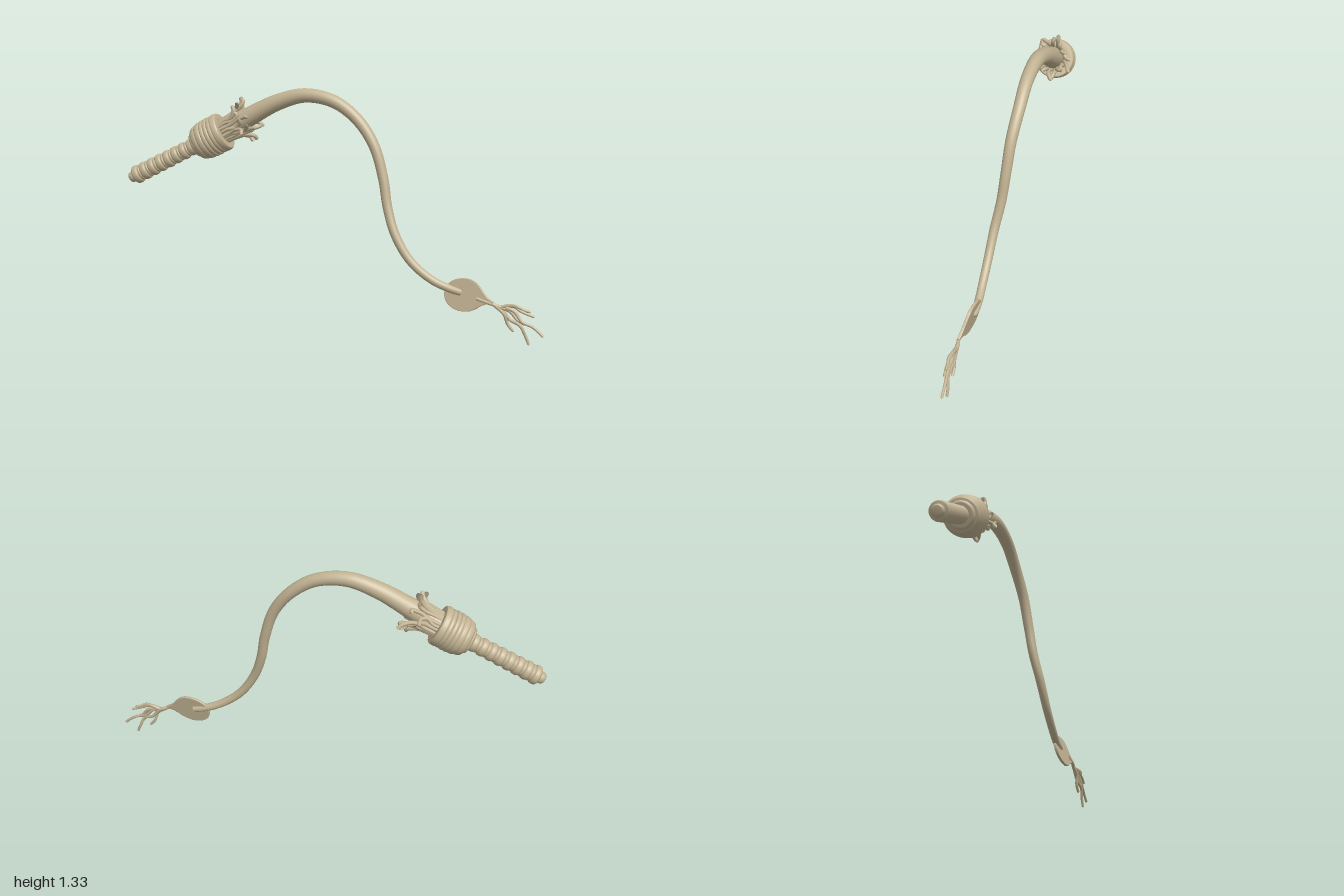
import * as THREE from 'three';

const material = new THREE.MeshStandardMaterial({ color: 0xc2b393, side: THREE.DoubleSide });
const V = (x, y, z) => new THREE.Vector3(x, y, z);

function add(parent, name, geometry) {
  const mesh = new THREE.Mesh(geometry, material);
  mesh.name = name;
  parent.add(mesh);
  return mesh;
}

// Tube whose radius follows radiusAt(u), rounded shut at its far end
function taperedTube(points, segments, sides, radiusAt) {
  const curve = new THREE.CatmullRomCurve3(points, false, 'centripetal');
  const geometry = new THREE.TubeGeometry(curve, segments, 1, sides, false);
  const pos = geometry.attributes.position;
  const length = curve.getLength();
  const p = new THREE.Vector3();
  for (let i = 0; i <= segments; i++) {
    const u = i / segments;
    const centre = curve.getPointAt(u);
    const r = radiusAt(u);
    const s = Math.max(0, 1 - ((1 - u) * length) / r);
    const scale = r * Math.max(0.02, Math.sqrt(1 - s * s));
    for (let j = 0; j <= sides; j++) {
      const k = i * (sides + 1) + j;
      p.fromBufferAttribute(pos, k).sub(centre).multiplyScalar(scale).add(centre);
      pos.setXYZ(k, p.x, p.y, p.z);
    }
  }
  return geometry;
}

// Lathe profile points of one flattened, rounded band from y0 to y1
function band(y0, y1, r0, r1, bulge, steps = 8) {
  const out = [];
  for (let i = 0; i <= steps; i++) {
    const f = i / steps;
    const b = bulge * Math.pow(Math.max(0, Math.sin(Math.PI * f)), 0.4);
    out.push(new THREE.Vector2(r0 + (r1 - r0) * f + b, y0 + (y1 - y0) * f));
  }
  return out;
}

// Small seeded generator for the fringe
let seed = 7;
const rand = () => (seed = (seed * 16807) % 2147483647) / 2147483647;

function createGrip() {
  const grip = new THREE.Group();
  grip.name = 'grip';
  grip.position.set(-0.49, 1.08, -0.423);
  grip.quaternion.setFromUnitVectors(V(0, 1, 0), V(1, 0.58, 0.56).normalize());

  // Handle: end knob, then wide bands alternating with narrow cords
  let profile = [new THREE.Vector2(0, -0.65), ...band(-0.65, -0.615, 0.024, 0.03, 0.006)];
  const bands = 8, step = 0.054;
  for (let i = 0; i < bands; i++) {
    const y = -0.615 + i * step;
    const r = 0.047 - i * 0.0006;
    profile.push(...band(y, y + step * 0.7, r, r, 0.007));
    profile.push(...band(y + step * 0.7, y + step, r - 0.004, r - 0.004, 0.005, 5));
  }
  add(grip, 'handle', new THREE.LatheGeometry(profile, 32));

  // Collar: wrapped bands swelling to a broad flat lip
  profile = [
    new THREE.Vector2(0.04, -0.2),
    ...band(-0.2, -0.18, 0.064, 0.074, 0.007),
    ...band(-0.18, -0.145, 0.088, 0.1, 0.006),
    ...band(-0.145, -0.11, 0.102, 0.106, 0.006),
    ...band(-0.11, -0.085, 0.107, 0.108, 0.006),
    ...band(-0.085, -0.06, 0.108, 0.108, 0.006),
    ...band(-0.06, -0.035, 0.106, 0.105, 0.006),
    ...band(-0.035, 0, 0.111, 0.107, 0.004),
    new THREE.Vector2(0.107, 0),
    new THREE.Vector2(0.104, 0.002),
    new THREE.Vector2(0.076, 0.002),
    new THREE.Vector2(0.074, 0),
    new THREE.Vector2(0.073, -0.02),
    new THREE.Vector2(0, -0.02),
  ];
  add(grip, 'collar', new THREE.LatheGeometry(profile, 40));

  // Fringe: curling cords leaving the collar around the lash
  const fringe = new THREE.Group();
  fringe.name = 'fringe';
  const count = 22;
  for (let i = 0; i < count; i++) {
    const a = (i / count) * Math.PI * 2 + (rand() - 0.5) * 0.2;
    const length = 0.1 + rand() * 0.1;
    const flare = rand() * 0.06;
    const twist = (rand() - 0.5) * 0.8;
    const at = (r, y, t) => V(Math.cos(a + t) * r, y, Math.sin(a + t) * r);
    const points = [
      at(0.064, -0.03, 0),
      at(0.066, length * 0.3, twist * 0.2),
      at(0.066 + flare * 0.2, length * 0.65, -twist * 0.3),
      at(0.072 + flare * 0.6, length * 0.92, twist * 0.3),
      at(0.082 + flare, length * (0.85 + rand() * 0.2), twist),
    ];
    add(fringe, 'fringeCord', taperedTube(points, 30, 8, (u) => 0.01 + 0.002 * u));
  }
  grip.add(fringe);
  return grip;
}

function createTip() {
  const tip = new THREE.Group();
  tip.name = 'tip';

  // Leaf: thin rounded flap drawn out to a point
  const shape = new THREE.Shape();
  shape.moveTo(0.16, -0.035);
  shape.bezierCurveTo(0.09, -0.025, 0.075, -0.088, 0, -0.088);
  shape.bezierCurveTo(-0.15, -0.088, -0.15, 0.088, 0, 0.088);
  shape.bezierCurveTo(0.09, 0.088, 0.085, 0.01, 0.16, -0.022);
  const geometry = new THREE.ExtrudeGeometry(shape, {
    depth: 0.008, bevelEnabled: true, bevelSize: 0.003, bevelThickness: 0.004, bevelSegments: 2, curveSegments: 20,
  });
  geometry.translate(0, 0, -0.004);
  const leaf = add(tip, 'leaf', geometry);
  leaf.position.set(0.65, 0.247, 0.449);
  leaf.rotation.set(-0.18, -0.7, 0, 'YXZ');

  // Frayed strands, given as x,y pairs lying in one slanted upright plane
  const strands = [
    [0.7, 0.235, 0.76, 0.215, 0.81, 0.2, 0.86, 0.21, 0.9, 0.185, 0.96, 0.16],
    [0.78, 0.208, 0.81, 0.195, 0.85, 0.135, 0.89, 0.11, 0.92, 0.05, 0.937, 0.001],
    [0.83, 0.2, 0.87, 0.18, 0.9, 0.13, 0.95, 0.105, 0.998, 0.055],
    [0.78, 0.208, 0.82, 0.165, 0.84, 0.11, 0.868, 0.07],
    [0.8, 0.2, 0.85, 0.18, 0.88, 0.14, 0.915, 0.115],
    [0.81, 0.2, 0.85, 0.213, 0.88, 0.21, 0.91, 0.195, 0.94, 0.185],
  ];
  strands.forEach((s, n) => {
    const points = [];
    for (let i = 0; i < s.length; i += 2) {
      const sway = i ? 0.006 * Math.sin(n * 2 + i) : 0;
      points.push(V(s[i], s[i + 1], 0.515 + (s[i] - 0.72) * 0.74 + sway));
    }
    add(tip, 'strand', taperedTube(points, 30, 8, (u) => 0.0105 - 0.003 * u));
  });
  return tip;
}

export function createModel() {
  const model = new THREE.Group();
  model.name = 'whip';
  model.add(createGrip());

  // Lash: arching cord, thick at the collar and thin at the leaf
  const path = [
    V(-0.51, 1.07, -0.436), V(-0.36, 1.165, -0.345), V(-0.22, 1.25, -0.255), V(-0.08, 1.295, -0.16),
    V(0.06, 1.265, -0.06), V(0.17, 1.17, 0.02), V(0.245, 1.03, 0.09), V(0.285, 0.85, 0.135),
    V(0.3, 0.7, 0.165), V(0.33, 0.55, 0.215), V(0.4, 0.41, 0.275), V(0.5, 0.315, 0.342),
    V(0.58, 0.275, 0.39), V(0.648, 0.253, 0.438),
  ];
  add(model, 'lash', taperedTube(path, 160, 24, (u) => 0.021 + 0.018 * (1 - u) + 0.03 * Math.pow(1 - u, 5)));

  model.add(createTip());
  return model;
}
